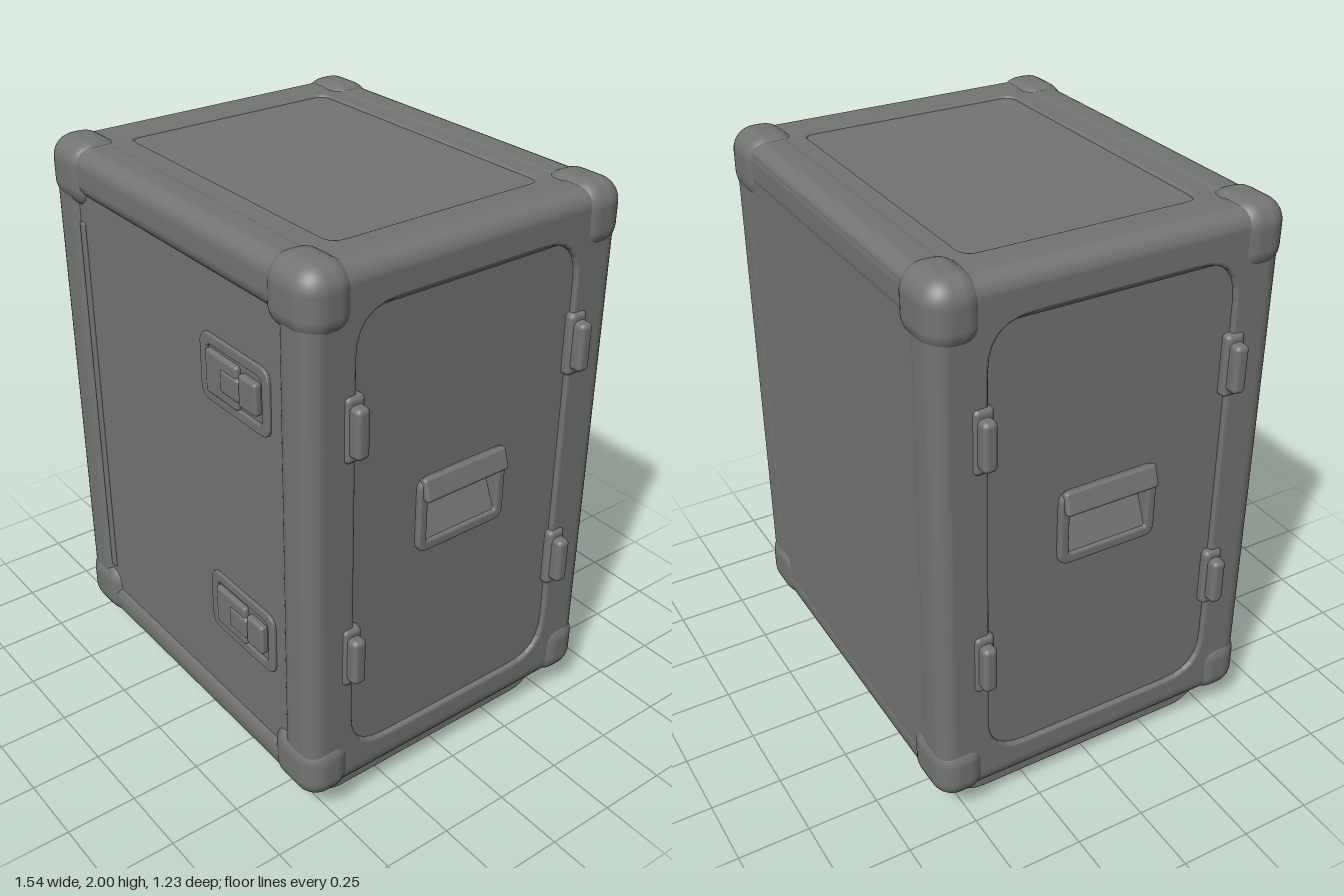
import * as THREE from 'three';
import { RoundedBoxGeometry } from 'three/addons/geometries/RoundedBoxGeometry.js';

const caseGrey = new THREE.MeshStandardMaterial({ color: 0x737573 });
caseGrey.name = 'caseGrey';

function add(parent, name, geometry, x = 0, y = 0, z = 0) {
  const mesh = new THREE.Mesh(geometry, caseGrey);
  mesh.name = name;
  mesh.position.set(x, y, z);
  parent.add(mesh);
  return mesh;
}

const rbox = (w, h, d, r = 0.012, seg = 3) => new RoundedBoxGeometry(w, h, d, seg, r);

// Rounded rectangle centred on the origin
function roundRect(path, w, h, r) {
  const x = w / 2, y = h / 2;
  path.moveTo(-x + r, -y);
  path.lineTo(x - r, -y);
  path.quadraticCurveTo(x, -y, x, -y + r);
  path.lineTo(x, y - r);
  path.quadraticCurveTo(x, y, x - r, y);
  path.lineTo(-x + r, y);
  path.quadraticCurveTo(-x, y, -x, y - r);
  path.lineTo(-x, -y + r);
  path.quadraticCurveTo(-x, -y, -x + r, -y);
  return path;
}

// Bevelled frame in the xy plane, facing +z
function frame(w, h, holeW, holeH, r, holeR, depth, bevel) {
  const shape = roundRect(new THREE.Shape(), w - bevel * 2, h - bevel * 2, r);
  shape.holes.push(roundRect(new THREE.Path(), holeW + bevel * 2, holeH + bevel * 2, holeR));
  return new THREE.ExtrudeGeometry(shape, {
    depth: depth - bevel, bevelEnabled: true, bevelThickness: bevel,
    bevelSize: bevel, bevelSegments: 3, curveSegments: 6,
  });
}

// Carrying handle over a sunken pocket, facing +z
function makeHandle() {
  const g = new THREE.Group();
  g.name = 'sideHandle';
  add(g, 'handleFrame', frame(0.36, 0.27, 0.29, 0.19, 0.03, 0.02, 0.022, 0.01));
  const hood = add(g, 'handleHood', rbox(0.34, 0.08, 0.03), 0, 0.1, 0.024);
  hood.rotation.x = -0.3;
  const floor = add(g, 'pocketFloor', rbox(0.3, 0.14, 0.02, 0.008), 0, -0.06, -0.015);
  floor.rotation.x = -0.4;
  return g;
}

// Low door latch with backing dish, facing +z
function makeLatch() {
  const g = new THREE.Group();
  g.name = 'doorLatch';
  add(g, 'latchDish', frame(0.36, 0.23, 0.29, 0.16, 0.04, 0.03, 0.01, 0.005));
  add(g, 'latchPlate', rbox(0.17, 0.15, 0.03), -0.06, -0.01, 0.002);
  add(g, 'latchCatch', rbox(0.1, 0.08, 0.03), -0.01, -0.01, 0.007);
  add(g, 'latchTab', rbox(0.09, 0.11, 0.032), 0.085, 0, 0.007);
  return g;
}

export function createModel() {
  const model = new THREE.Group();
  model.name = 'transportCase';

  // Core box, set in behind the rails
  add(model, 'caseBody', rbox(1.31, 1.828, 1.188, 0.03), 0, 1.06, -0.01);

  // Rounded rails along all twelve edges
  const rail = 0.17, cy = 1.042, hx = 0.722, hy = 0.943, hz = 0.604;
  const ox = hx - rail / 2, oy = hy - rail / 2, oz = hz - rail / 2;
  for (const a of [-1, 1]) {
    const r = a < 0 ? 0.08 : 0.06;
    for (const b of [-1, 1]) {
      add(model, 'edgeRailWide', rbox(hx * 2 - 0.06, rail, rail, r, 4), 0, cy + a * oy, b * oz - 0.003);
      add(model, 'edgeRailUpright', rbox(rail, hy * 2 - 0.06, rail, 0.06, 4), b * ox, cy, a * oz - 0.003);
      add(model, 'edgeRailDeep', rbox(rail, rail, hz * 2 - 0.06, r, 4), b * ox, cy + a * oy, 0);
    }
  }

  // Corner guards
  for (const x of [-1, 1]) for (const y of [-1, 1]) for (const z of [-1, 1]) {
    add(model, 'cornerGuard', rbox(0.24, 0.23, 0.19, 0.08, 5), x * 0.614, 1.05 + y * 0.835, z * 0.519 - 0.003);
  }

  // Rim around the inset top panel
  const topRim = add(model, 'topRim', frame(1.34, 1.08, 1.1, 0.8, 0.06, 0.06, 0.02, 0.012), 0, 1.962, -0.01);
  topRim.rotation.x = -Math.PI / 2;

  for (const s of [-1, 1]) {
    const turn = s * Math.PI / 2;

    // Inset side panel with an opening for the handle pocket
    const panel = add(model, 'sidePanel', frame(1.06, 1.74, 0.29, 0.2, 0.04, 0.02, 0.045, 0.005), s * 0.66, 1.055, 0);
    panel.rotation.y = turn;

    // Side rim around the panel
    const rim = add(model, 'sideRim', frame(1.08, 1.76, 0.86, 1.6, 0.1, 0.16, 0.03, 0.012), s * 0.692, 1.045, 0);
    rim.rotation.y = turn;

    // Side handle
    const handle = makeHandle();
    handle.position.set(s * 0.704, 1.065, 0);
    handle.rotation.y = turn;
    model.add(handle);

    // Lid clasps on the sides
    for (const y of [0.655, 1.48]) for (const z of [-0.45, 0.44]) {
      add(model, 'sideClasp', rbox(0.075, 0.17, 0.05, 0.018), s * 0.735, y, z);
      add(model, 'sideClaspBase', rbox(0.05, 0.22, 0.07, 0.018), s * 0.71, y, z);
    }
  }

  // Front latches
  for (const y of [0.625, 1.51]) {
    const latch = makeLatch();
    latch.position.set(0.34, y, 0.585);
    model.add(latch);
  }

  // Hinge strip on the front
  add(model, 'hingeStrip', rbox(0.03, 1.4, 0.014, 0.006), -0.555, 1.03, 0.585);

  // Skid runners, each a flat loop under the body
  const skid = new THREE.Shape();
  skid.moveTo(-0.55, 0.15);
  skid.quadraticCurveTo(-0.49, 0.01, -0.4, 0.01);
  skid.lineTo(0.4, 0.01);
  skid.quadraticCurveTo(0.49, 0.01, 0.55, 0.15);
  const gap = new THREE.Path();
  gap.moveTo(-0.34, 0.042);
  gap.lineTo(0.34, 0.042);
  gap.bezierCurveTo(0.4, 0.045, 0.44, 0.085, 0.4, 0.115);
  gap.lineTo(-0.4, 0.115);
  gap.bezierCurveTo(-0.44, 0.085, -0.4, 0.045, -0.34, 0.042);
  skid.holes.push(gap);
  const skidGeo = new THREE.ExtrudeGeometry(skid, {
    depth: 0.115, bevelEnabled: true, bevelThickness: 0.01, bevelSize: 0.01, bevelSegments: 2, curveSegments: 8,
  });
  skidGeo.translate(0, 0, -0.0575);
  for (const x of [-0.56, 0.56]) {
    add(model, 'skidRunner', skidGeo, x, 0, 0).rotation.y = Math.PI / 2;
  }

  return model;
}
